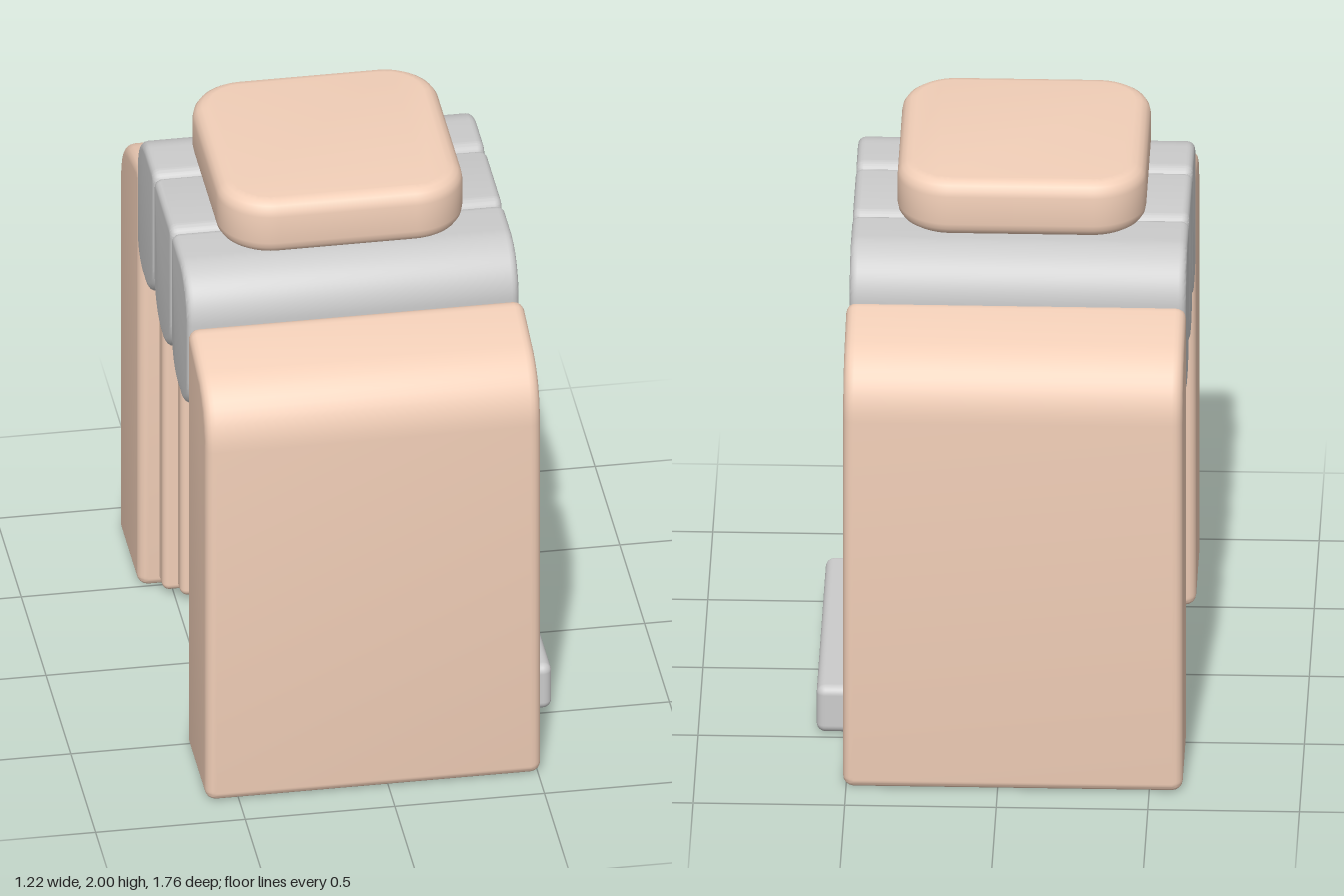
import * as THREE from 'three';
import { toCreasedNormals } from 'three/addons/utils/BufferGeometryUtils.js';
import { RoundedBoxGeometry } from 'three/addons/geometries/RoundedBoxGeometry.js';

const peach = new THREE.MeshStandardMaterial({ color: 0xf2cfb8 });
const grey = new THREE.MeshStandardMaterial({ color: 0xcccccc });
const black = new THREE.MeshStandardMaterial({ color: 0x050505 });

export function createModel() {
  const model = new THREE.Group();

  function add(name, geometry, material) {
    const mesh = new THREE.Mesh(geometry, material);
    mesh.name = name;
    model.add(mesh);
    return mesh;
  }

  // Rounded box given by its limits on each axis
  function block(name, [x0, x1], [y0, y1], [z0, z1], radius, material) {
    const geometry = new RoundedBoxGeometry(x1 - x0, y1 - y0, z1 - z0, 4, radius);
    geometry.translate((x0 + x1) / 2, (y0 + y1) / 2, (z0 + z1) / 2);
    return add(name, geometry, material);
  }

  // Extrusion with softened rims that keeps the outline's size
  function softExtrude(shape, length, bevel) {
    const geometry = new THREE.ExtrudeGeometry(shape, {
      depth: length - 2 * bevel, bevelEnabled: true, bevelThickness: bevel,
      bevelSize: bevel, bevelOffset: -bevel, bevelSegments: 4, curveSegments: 10,
    });
    geometry.translate(0, 0, bevel);
    return toCreasedNormals(geometry, 0.7);
  }

  // Rectangle with its own radius at each corner: bottom left, bottom right, top right, top left
  function roundedRect(x0, x1, y0, y1, [bl, br, tr, tl]) {
    const s = new THREE.Shape();
    s.moveTo(x0 + bl, y0);
    s.lineTo(x1 - br, y0);
    s.absarc(x1 - br, y0 + br, br, -Math.PI / 2, 0);
    s.lineTo(x1, y1 - tr);
    s.absarc(x1 - tr, y1 - tr, tr, 0, Math.PI / 2);
    s.lineTo(x0 + tl, y1);
    s.absarc(x0 + tl, y1 - tl, tl, Math.PI / 2, Math.PI);
    s.lineTo(x0, y0 + bl);
    s.absarc(x0 + bl, y0 + bl, bl, Math.PI, Math.PI * 1.5);
    return s;
  }

  // Thick side walls with sloping shoulders, and the stepped jambs inside them
  for (const [side, label] of [[1, 'front'], [-1, 'back']]) {
    const k = -side;
    const s = new THREE.Shape();
    s.moveTo(k * 0.53, 0);
    s.lineTo(k * 0.84, 0);
    s.quadraticCurveTo(k * 0.88, 0, k * 0.88, 0.04);
    s.lineTo(k * 0.88, 1.35);
    s.bezierCurveTo(k * 0.88, 1.46, k * 0.82, 1.54, k * 0.72, 1.57);
    s.lineTo(k * 0.55, 1.612);
    s.quadraticCurveTo(k * 0.49, 1.62, k * 0.49, 1.56);
    s.lineTo(k * 0.49, 0.04);
    s.quadraticCurveTo(k * 0.49, 0, k * 0.53, 0);
    const wall = softExtrude(s, 1.12, 0.035);
    wall.rotateY(Math.PI / 2);
    wall.translate(-0.61, 0, 0);
    add(label + 'Wall', wall, peach);

    const span = (a, b) => (side > 0 ? [a, b] : [-b, -a]);
    block(label + 'OuterJamb', [-0.54, 0.45], [0.02, 1.5], span(0.42, 0.56), 0.025, peach);
    block(label + 'InnerJamb', [-0.49, 0.415], [0.03, 1.5], span(0.36, 0.48), 0.025, peach);
  }

  // Roof canopy of three rounded lobes
  const lobes = [
    [-0.5, -0.16, [0.13, 0.14, 0.04, 0.17]],
    [-0.158, 0.19, [0.16, 0.16, 0.04, 0.04]],
    [0.192, 0.53, [0.16, 0.12, 0.17, 0.04]],
  ];
  lobes.forEach(([a, b, radii], i) => {
    const lobe = softExtrude(roundedRect(a, b, 1.26, 1.78, radii), 1.11, 0.025);
    lobe.rotateY(Math.PI / 2);
    lobe.translate(-0.61, 0, 0);
    add('canopyLobe' + (i + 1), lobe, grey);
  });

  // Dark doorway, seen only from outside
  const door = new THREE.PlaneGeometry(0.72, 1.4);
  door.rotateY(Math.PI / 2);
  door.translate(0.412, 0.8, 0);
  add('doorway', door, black);

  // Doorstep with a narrower tongue reaching into the doorway
  block('doorstep', [0.48, 0.61], [0.005, 0.175], [-0.488, 0.495], 0.03, grey);
  block('doorstepTongue', [0.34, 0.53], [0.01, 0.165], [-0.36, 0.36], 0.03, grey);

  // Cushion-like cap above the roof
  const cap = softExtrude(roundedRect(-0.47, 0.35, -0.41, 0.41, [0.18, 0.18, 0.18, 0.18]), 0.2, 0.05);
  cap.rotateX(-Math.PI / 2);
  cap.translate(0, 1.8, 0);
  add('roofCap', cap, peach);

  return model;
}
